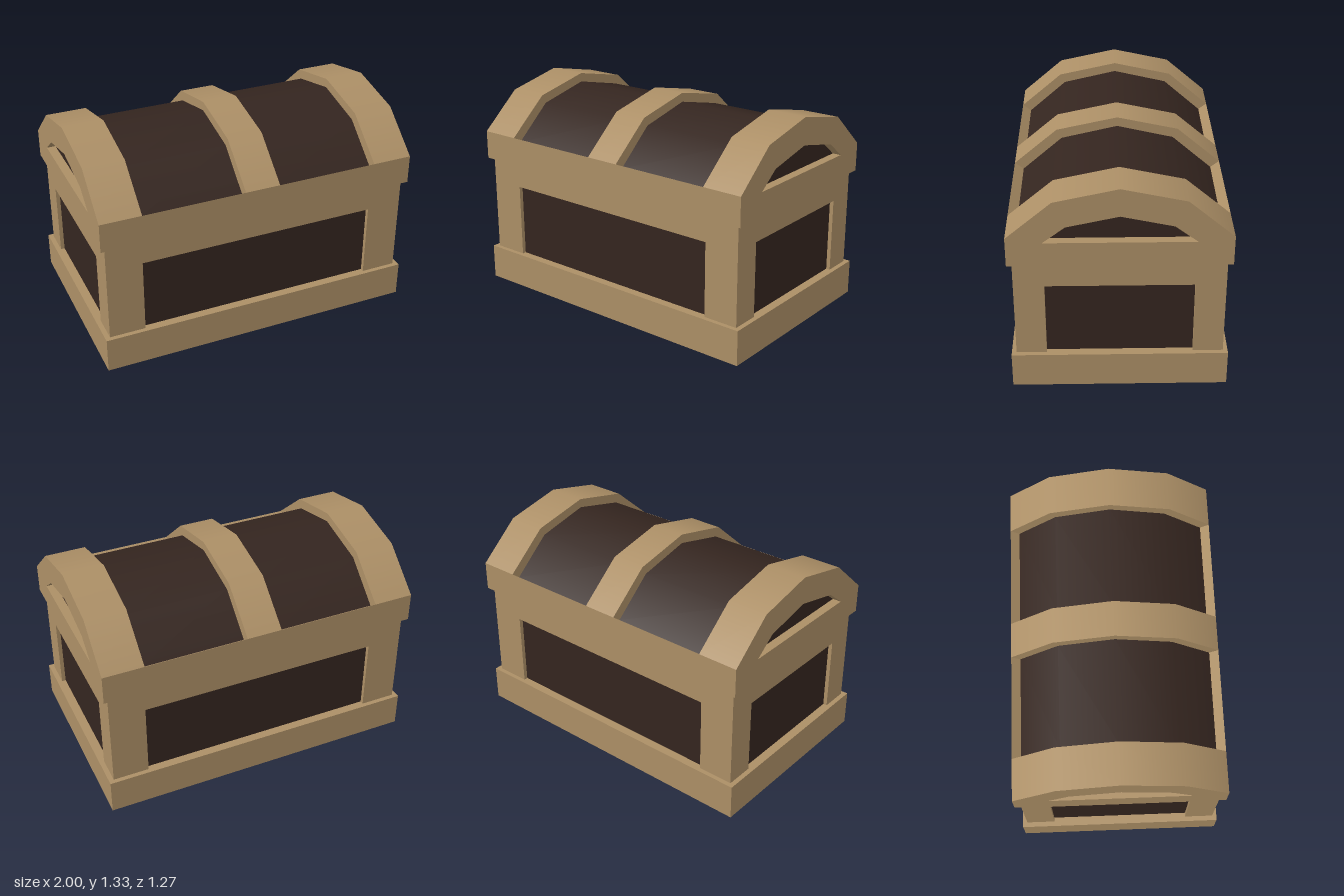
import * as THREE from 'three';

const wood = new THREE.MeshStandardMaterial({ color: 0xac8f66 });
const woodThin = new THREE.MeshStandardMaterial({ color: 0xac8f66, side: THREE.DoubleSide });
const dark = new THREE.MeshStandardMaterial({ color: 0x34251f });

const W = 1, D = 0.633;            // half width and half depth of base and lid
const BW = 0.97, BD = 0.605;       // half width and half depth of the body
const BASE = 0.22, BODY = 0.84, RIM = 1.02;
const T = 0.025, CAP = 0.055;      // recess depths of body and lid end panels

// Full symmetric outline from its right half, listed bottom to top
const mirror = (half) =>
  [...half, ...half.filter(([x]) => x > 0).reverse().map(([x, y]) => [-x, y])];

const toShape = (pts, Type = THREE.Shape) => new Type(pts.map(([x, y]) => new THREE.Vector2(x, y)));

// Lid sections as (z, y): outer bands and the sunken panels between them
const bandArch = mirror([[D, RIM], [0.37, 1.245], [0, 1.325]]);
const panelArch = mirror([[0.58, 0.98], [0.34, 1.19], [0, 1.268]]);

// Smooth strip following an arch, from x0 to x1
function archStrip(arch, x0, x1) {
  const pos = [], nor = [], index = [];
  arch.forEach(([z, y], i) => {
    const p = arch[Math.max(i - 1, 0)], q = arch[Math.min(i + 1, arch.length - 1)];
    const n = new THREE.Vector3(0, p[0] - q[0], q[1] - p[1]).normalize();
    for (const x of [x0, x1]) {
      pos.push(x, y, z);
      nor.push(n.x, n.y, n.z);
    }
    const a = 2 * i;
    if (i) index.push(a - 2, a - 1, a + 1, a - 2, a + 1, a);
  });
  const g = new THREE.BufferGeometry();
  g.setAttribute('position', new THREE.Float32BufferAttribute(pos, 3));
  g.setAttribute('normal', new THREE.Float32BufferAttribute(nor, 3));
  return g.setIndex(index);
}

// Flat quads joining two rows of points
function quads(a, b) {
  const pos = [];
  for (let i = 0; i + 1 < a.length; i++) {
    pos.push(...a[i], ...b[i], ...b[i + 1], ...a[i], ...b[i + 1], ...a[i + 1]);
  }
  const g = new THREE.BufferGeometry();
  g.setAttribute('position', new THREE.Float32BufferAttribute(pos, 3));
  g.computeVertexNormals();
  return g;
}

// Horizontal rectangular ring at height y
function ledge(w, d, holeW, holeD, y, facing) {
  const rect = (a, b) => [[a, -b], [a, b], [-a, b], [-a, -b]];
  const shape = toShape(rect(w, d));
  shape.holes.push(toShape(rect(holeW, holeD), THREE.Path));
  return new THREE.ShapeGeometry(shape).rotateX(-facing * Math.PI / 2).translate(0, y, 0);
}

export function createModel() {
  const group = new THREE.Group();
  const add = (name, geometry, material, parent = group) => {
    const mesh = new THREE.Mesh(geometry, material);
    mesh.name = name;
    parent.add(mesh);
  };

  // Framed face with a dark panel set back behind its opening
  function recessedFace(name, frame, opening, depth, offset, turn) {
    const face = new THREE.Group();
    face.name = name;
    face.rotation.y = turn;
    const loop = [...opening, opening[0]];
    const row = (z) => loop.map(([x, y]) => [x, y, z]);
    add('frame', new THREE.ShapeGeometry(frame).translate(0, 0, offset), wood, face);
    add('reveal', quads(row(offset), row(offset - depth)), woodThin, face);
    add('panel', new THREE.ShapeGeometry(toShape(opening)).translate(0, 0, offset - depth), dark, face);
    group.add(face);
  }

  for (let i = 0; i < 4; i++) {
    const side = i % 2 === 1, turn = i * Math.PI / 2;

    // Base skirt, open underneath
    const [len, off] = side ? [D, W] : [W, D];
    const skirt = new THREE.PlaneGeometry(2 * len, BASE).translate(0, BASE / 2, off);
    add('baseSkirt', skirt.rotateY(turn), woodThin);

    // Body walls, the opening standing on the base
    const [half, open, bodyOff] = side ? [BD, 0.428, BW] : [BW, 0.747, BD];
    const opening = mirror([[open, BASE], [open, 0.685]]);
    const frame = toShape(mirror([[open, 0.685], [open, BASE], [half, BASE], [half, BODY]]));
    recessedFace(side ? 'bodySide' : 'bodyLongWall', frame, opening, T, bodyOff, turn);

    // Lid walls: gabled ends with a recess, plain rims front and back
    if (side) {
      const gable = toShape([[-D, BODY], [D, BODY], ...bandArch]);
      const gableOpening = mirror([[0.43, 0.99], [0.3, 1.09], [0, 1.155]]);
      gable.holes.push(toShape(gableOpening, THREE.Path));
      recessedFace('lidEnd', gable, gableOpening, CAP, W, turn);
    } else {
      const rim = new THREE.PlaneGeometry(2 * W, RIM - BODY).translate(0, (RIM + BODY) / 2, D);
      add('lidRim', rim.rotateY(turn), wood);
    }
  }

  // Horizontal surfaces of the base and lid overhang
  add('baseLedge', ledge(W, D, BW - T, BD - T, BASE, 1), wood);
  add('floor', new THREE.PlaneGeometry(2 * W, 2 * D).rotateX(Math.PI / 2).translate(0, BASE, 0), dark);
  add('lidUnderside', ledge(W, D, BW, BD, BODY, -1), wood);

  // Lid bands
  for (const [x0, x1] of [[-W, -0.747], [-0.11, 0.11], [0.747, W]]) {
    add('lidBand', archStrip(bandArch, x0, x1), wood);
  }

  // Sunken lid panels with band sides and sloping gutters along the rim
  const bandSide = toShape([...bandArch, ...[...panelArch].reverse()]);
  for (const [x0, x1] of [[-0.747, -0.11], [0.11, 0.747]]) {
    add('lidPanel', archStrip(panelArch, x0, x1), dark);
    for (const x of [x0, x1]) {
      add('bandSide', new THREE.ShapeGeometry(bandSide).rotateY(Math.PI / 2).translate(x, 0, 0), woodThin);
    }
    for (const s of [1, -1]) {
      const edge = ([z, y]) => [[x0, y, s * z], [x1, y, s * z]];
      add('lidGutter', quads(edge(bandArch[0]), edge(panelArch[0])), woodThin);
    }
  }
  return group;
}
